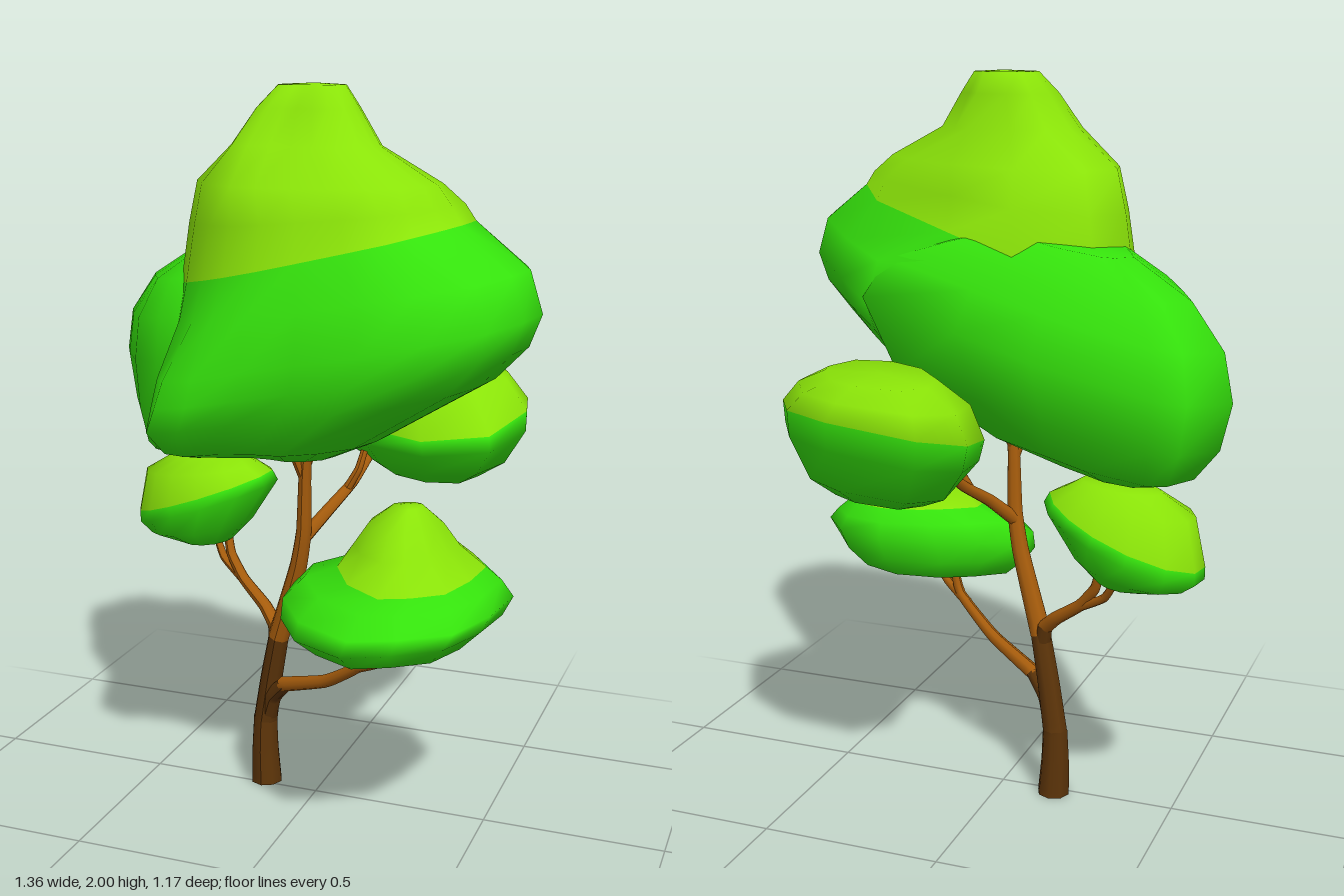
import * as THREE from 'three';

const material = (name, color) => {
  const m = new THREE.MeshStandardMaterial({ color });
  m.name = name;
  return m;
};

// Smooth leaf mass: outlines [x, z] fitted into a stack of rings, lime from ring `capFrom` upwards.
// ring: [y, tiltX, tiltZ, xMin, xMax, zMin, zMax, mix]; mix 0, 1, 2 picks or blends the outlines in turn
function foliage(name, outlines, rings, capFrom, materials) {
  const n = outlines[0].length, pos = [], idx = [];
  for (const [y, tx, tz, a, b, c, d, mix = 0] of rings) {
    const lower = outlines[Math.floor(mix)], upper = outlines[Math.ceil(mix)], t = mix % 1;
    const outline = lower.map((p, i) => p.map((v, k) => v + (upper[i][k] - v) * t));
    const xs = outline.map(p => p[0]), zs = outline.map(p => p[1]);
    const x0 = Math.min(...xs), x1 = Math.max(...xs), z0 = Math.min(...zs), z1 = Math.max(...zs);
    for (const [px, pz] of outline) {
      const x = a + (b - a) * (px - x0) / (x1 - x0);
      const z = c + (d - c) * (pz - z0) / (z1 - z0);
      pos.push(x, y + tx * (x - (a + b) / 2) + tz * (z - (c + d) / 2), z);
    }
  }
  const last = rings.length - 1, bottom = n * rings.length, top = bottom + 1;
  for (const [r, lift] of [[rings[0], -0.005], [rings[last], 0.004]]) {
    pos.push((r[3] + r[4]) / 2, r[0] + lift, (r[5] + r[6]) / 2);
  }
  for (let i = 0; i < n; i++) idx.push(bottom, i, (i + 1) % n);
  let split = Infinity;
  for (let r = 0; r < last; r++) {
    if (r === capFrom) split = idx.length;
    for (let i = 0; i < n; i++) {
      const j = (i + 1) % n, p = r * n + i, q = r * n + j;
      idx.push(p, p + n, q, q, p + n, q + n);
    }
  }
  for (let i = 0; i < n; i++) idx.push(top, last * n + (i + 1) % n, last * n + i);
  split = Math.min(split, idx.length);

  const g = new THREE.BufferGeometry();
  g.setAttribute('position', new THREE.Float32BufferAttribute(pos, 3));
  g.setIndex(idx);
  g.addGroup(0, split, 0);
  if (split < idx.length) g.addGroup(split, idx.length - split, 1);
  g.computeVertexNormals();
  const mesh = new THREE.Mesh(g, materials);
  mesh.name = name;
  return mesh;
}

// Tapered limb along a slightly kinked curve
function limb(name, points, r0, r1, mat) {
  const curve = new THREE.CatmullRomCurve3(points.map(p => new THREE.Vector3(...p)), false, 'catmullrom', 0.2);
  const steps = points.length * 4, sides = 8;
  const g = new THREE.TubeGeometry(curve, steps, 1, sides);
  const p = g.attributes.position, v = new THREE.Vector3();
  for (let i = 0; i <= steps; i++) {
    const c = curve.getPointAt(i / steps), r = r0 + (r1 - r0) * i / steps;
    for (let j = 0; j <= sides; j++) {
      const k = i * (sides + 1) + j;
      v.fromBufferAttribute(p, k).sub(c).multiplyScalar(r).add(c);
      p.setXYZ(k, v.x, Math.max(v.y, 0), v.z);
    }
  }
  g.computeVertexNormals();
  const mesh = new THREE.Mesh(g, mat);
  mesh.name = name;
  return mesh;
}

// Softly lobed round outline
const lobed = (n, amount, lobes, phase) => Array.from({ length: n }, (_, i) => {
  const a = i / n * Math.PI * 2, r = 1 + amount * Math.sin(lobes * a + phase);
  return [Math.cos(a) * r, Math.sin(a) * r];
});

export function createModel() {
  const tree = new THREE.Group();
  tree.name = 'tree';
  const darkBark = material('dark bark', 0x5c3409);
  const bark = material('light bark', 0xa65c0c);
  const leaves = [material('green leaves', 0x35e20c), material('lime leaves', 0x8ae308)];

  // Trunk
  tree.add(
    limb('trunkBase', [[-0.16, 0, -0.02], [-0.165, 0.1, -0.022], [-0.165, 0.2, -0.025]], 0.046, 0.036, darkBark),
    limb('lowerTrunk', [[-0.165, 0.19, -0.025], [-0.14, 0.33, -0.012], [-0.11, 0.47, 0.003]], 0.036, 0.03, darkBark),
    limb('upperTrunk', [[-0.111, 0.465, 0.003], [-0.04, 0.69, 0.032], [-0.018, 0.8, 0.045], [-0.008, 0.98, 0.06], [0.012, 1.15, 0.07]], 0.031, 0.014, bark),
    limb('topTwig', [[-0.01, 0.95, 0.058], [-0.04, 1.05, 0.085], [-0.055, 1.13, 0.1]], 0.014, 0.011, bark),
    limb('topTwig', [[-0.008, 0.98, 0.06], [0.015, 1.06, 0.02], [0.02, 1.13, 0.0]], 0.012, 0.01, bark),
  );
  const base = new THREE.Mesh(new THREE.CircleGeometry(0.046, 8), darkBark);
  base.name = 'trunkBottom';
  base.rotation.x = Math.PI / 2;
  base.position.set(-0.16, 0, -0.02);
  tree.add(base);

  // Front branch
  tree.add(
    limb('frontBranchBase', [[-0.155, 0.21, -0.02], [-0.13, 0.28, 0.0], [-0.08, 0.335, 0.03]], 0.028, 0.022, darkBark),
    limb('frontBranch', [[-0.09, 0.33, 0.026], [0.07, 0.395, 0.105], [0.2, 0.49, 0.17], [0.23, 0.6, 0.18]], 0.022, 0.012, bark),
    limb('frontTwig', [[0.17, 0.468, 0.155], [0.265, 0.52, 0.21], [0.295, 0.6, 0.24]], 0.015, 0.011, bark),
  );
  // Rear right branch
  tree.add(
    limb('sideBranchBase', [[-0.115, 0.43, 0.0], [-0.13, 0.5, -0.015]], 0.026, 0.021, darkBark),
    limb('sideBranch', [[-0.125, 0.49, -0.01], [-0.17, 0.535, -0.04], [-0.25, 0.595, -0.075], [-0.3, 0.66, -0.1], [-0.32, 0.74, -0.12]], 0.021, 0.012, bark),
    limb('sideTwig', [[-0.24, 0.585, -0.07], [-0.33, 0.64, -0.115], [-0.385, 0.73, -0.16]], 0.013, 0.01, bark),
  );
  // Rear upper branch
  tree.add(
    limb('rearBranch', [[-0.02, 0.78, 0.04], [0.03, 0.85, -0.03], [0.07, 0.91, -0.12], [0.1, 0.99, -0.22]], 0.02, 0.012, bark),
    limb('rearTwig', [[0.055, 0.885, -0.09], [0.09, 0.95, -0.1], [0.1, 1.0, -0.12]], 0.013, 0.01, bark),
  );

  // Peaked main crown: broad skirt, narrower shoulder, diagonal oval above
  tree.add(foliage('mainCrown', [[
    [0.65, 0.18], [0.68, 0.3], [0.66, 0.4], [0.6, 0.5], [0.47, 0.56], [0.31, 0.58], [0.15, 0.54], [0, 0.525], [-0.15, 0.545],
    [-0.28, 0.49], [-0.32, 0.4], [-0.36, 0.2], [-0.36, 0], [-0.25, -0.2], [0, -0.22], [0.32, -0.2], [0.47, -0.03],
  ], [
    [0.62, 0.18], [0.66, 0.3], [0.64, 0.4], [0.58, 0.5], [0.45, 0.55], [0.31, 0.56], [0.15, 0.53], [0, 0.5], [-0.1, 0.46],
    [-0.18, 0.39], [-0.26, 0.29], [-0.33, 0.15], [-0.36, 0], [-0.28, -0.18], [0, -0.22], [0.3, -0.19], [0.46, -0.02],
  ], [
    [0.46, 0.17], [0.45, 0.26], [0.42, 0.32], [0.37, 0.38], [0.32, 0.43], [0.22, 0.44], [0.1, 0.44], [0, 0.43], [-0.1, 0.39],
    [-0.18, 0.33], [-0.26, 0.25], [-0.33, 0.13], [-0.36, 0], [-0.3, -0.14], [-0.11, -0.215], [0.1, -0.12], [0.35, 0],
  ]], [
    [1.07, 0.05, 0, -0.17, 0.15, 0, 0.32],
    [1.12, 0.12, 0, -0.3, 0.3, -0.1, 0.48],
    [1.23, 0.2, 0, -0.36, 0.57, -0.18, 0.555, 0.1],
    [1.3, 0.21, 0, -0.365, 0.65, -0.2, 0.575, 0.3],
    [1.37, 0.22, 0, -0.37, 0.68, -0.22, 0.585, 0.5],
    [1.49, 0.19, 0, -0.365, 0.645, -0.22, 0.55, 1.1],
    [1.58, 0.24, 0, -0.36, 0.48, -0.22, 0.45, 2],
    [1.68, 0.1, 0, -0.335, 0.45, -0.2, 0.42, 2],
    [1.76, 0.02, 0, -0.3, 0.4, -0.12, 0.39, 1.6],
    [1.85, 0, 0, -0.17, 0.23, -0.04, 0.26],
    [1.94, 0, 0, -0.11, 0.165, -0.02, 0.21],
    [1.996, 0, 0, -0.06, 0.12, 0.01, 0.16],
  ], 6, leaves));

  // Lower rear crown
  tree.add(foliage('rearCrown', [[
    [0.32, -0.2], [0.4, 0], [0.3, 0.2], [0, 0.3], [-0.2, 0.3], [-0.35, 0.25], [-0.48, 0.12], [-0.6, -0.08],
    [-0.68, -0.23], [-0.6, -0.37], [-0.52, -0.41], [-0.21, -0.38], [0.02, -0.3],
  ]], [
    [0.995, 0.03, 0, -0.48, -0.2, -0.25, 0.1],
    [1.04, 0.1, 0, -0.58, 0, -0.32, 0.2],
    [1.17, 0.15, 0, -0.65, 0.3, -0.39, 0.28],
    [1.33, 0.2, 0, -0.68, 0.4, -0.41, 0.3],
    [1.44, 0.2, 0, -0.65, 0.33, -0.37, 0.28],
    [1.52, 0.18, 0, -0.56, 0.14, -0.31, 0.2],
    [1.58, 0.13, 0, -0.4, 0, -0.23, 0.1],
  ], 99, leaves));

  // Small front clump
  tree.add(foliage('frontClump', [[
    [0.585, 0.1], [0.56, 0.25], [0.5, 0.39], [0.38, 0.46], [0.26, 0.5], [0.1, 0.41], [0, 0.26], [-0.01, 0.15],
    [0.09, 0.06], [0.2, -0.01], [0.36, -0.05], [0.5, -0.01],
  ]], [
    [0.565, 0, 0, 0.15, 0.42, 0.1, 0.33],
    [0.585, 0.05, 0, 0.05, 0.5, 0, 0.43],
    [0.64, 0.05, 0, -0.01, 0.56, -0.04, 0.5],
    [0.69, 0.03, -0.05, -0.01, 0.585, -0.05, 0.48],
    [0.735, 0, -0.07, 0.04, 0.55, -0.04, 0.41],
    [0.77, 0, -0.08, 0.13, 0.51, -0.01, 0.37],
    [0.83, 0, 0, 0.17, 0.44, 0.02, 0.31],
    [0.89, 0, 0, 0.21, 0.4, 0.06, 0.26],
    [0.937, 0, 0, 0.27, 0.35, 0.11, 0.19],
  ], 5, leaves));

  // Small side clump, sloping
  tree.add(foliage('sideClump', [lobed(14, 0.08, 2, 0)], [
    [0.695, 0.1, 0, -0.46, -0.3, -0.2, -0.03],
    [0.735, 0.2, 0, -0.56, -0.24, -0.26, 0.02],
    [0.81, 0.37, 0, -0.6, -0.16, -0.29, 0.05],
    [0.84, 0.37, 0, -0.6, -0.175, -0.28, 0.045],
    [0.915, 0.14, 0, -0.57, -0.22, -0.24, 0.02],
    [0.955, 0.08, 0, -0.48, -0.26, -0.18, -0.04],
  ], 3, leaves));

  // Small rear clump
  tree.add(foliage('rearClump', [[
    [0.54, -0.17], [0.48, 0.01], [0.3, 0.04], [0.1, -0.07], [-0.06, -0.28], [-0.09, -0.48],
    [0, -0.59], [0.25, -0.57], [0.4, -0.48], [0.52, -0.27],
  ]], [
    [0.925, 0.02, 0, 0.08, 0.4, -0.42, -0.12],
    [0.97, 0.05, -0.02, 0, 0.48, -0.5, -0.05],
    [1.06, 0.1, -0.12, -0.07, 0.54, -0.57, 0.01],
    [1.12, 0.1, -0.18, -0.09, 0.54, -0.59, 0.01],
    [1.2, 0.05, -0.08, -0.06, 0.47, -0.575, -0.07],
    [1.258, 0, 0.02, 0.02, 0.36, -0.52, -0.22],
  ], 3, leaves));

  return tree;
}
